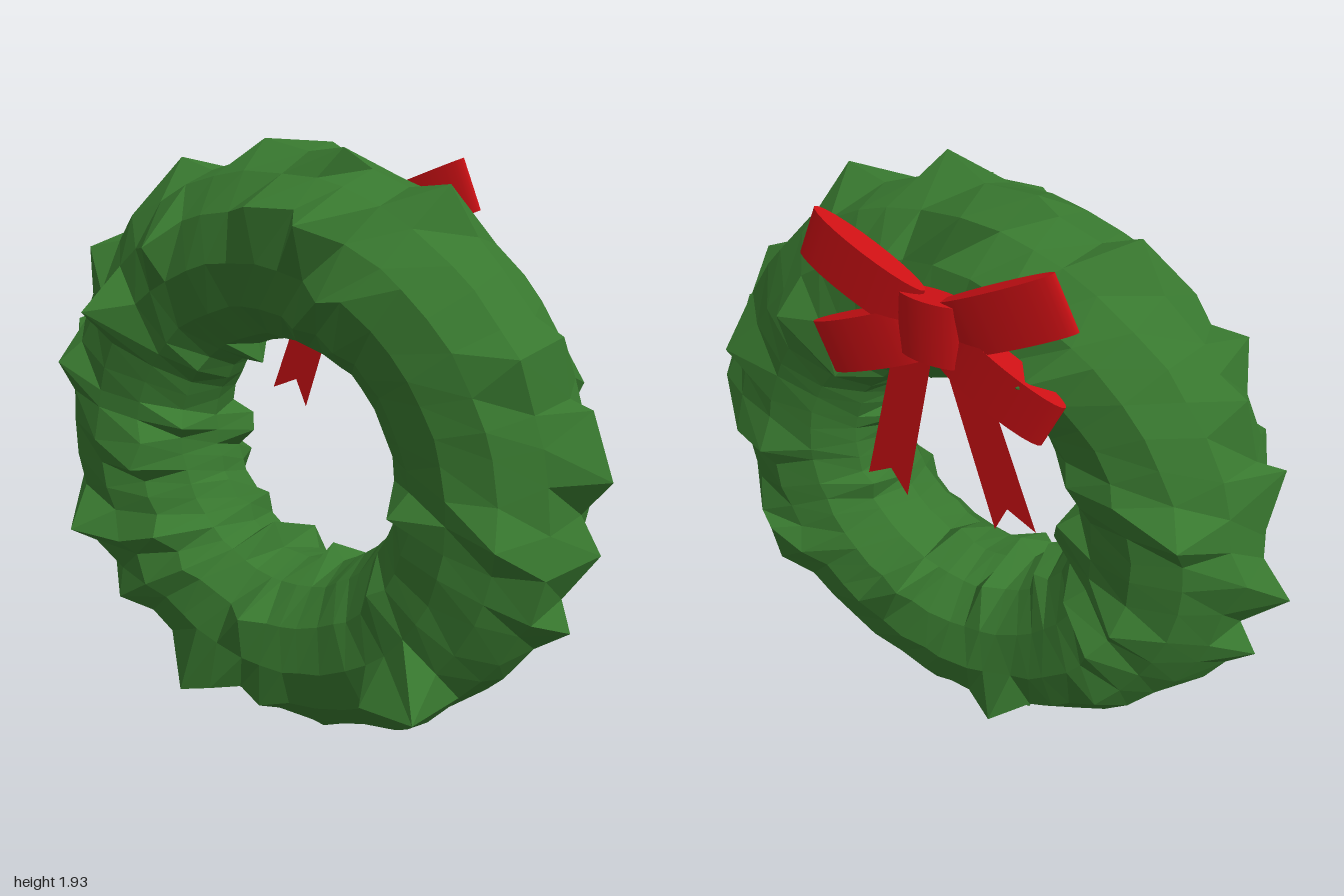
import * as THREE from 'three';

const RING = 0.637, TUBE = 0.272, AROUND = 48, SIDES = 12;

// Repeatable pseudo-random value in 0..1 for a grid cell
function hash(i, j, k) {
  const s = Math.sin(i * 127.1 + j * 311.7 + k * 74.7 + 3.1) * 43758.5453;
  return s - Math.floor(s);
}

// Longest leaf tips: across, up (from the ring centre), forward
const TIPS = [
  [-1, 0.13, 0], [0.995, -0.12, 0], [0.19, -0.99, 0.05], [0.93, -0.35, 0.02], [0.78, -0.55, 0],
  [0.45, -0.89, 0], [0.91, 0.29, -0.03], [0.8, 0.52, 0.05], [0.45, 0.86, 0], [0.17, 0.93, 0.05],
  [-0.18, 0.94, -0.06], [-0.48, 0.86, 0], [-0.83, 0.5, 0], [-0.92, 0.31, 0.02],
  [-0.92, -0.35, 0], [-0.35, -0.91, 0.03], [-0.1, -0.96, -0.02],
  [0.05, 0.91, 0.23], [0.3, -0.83, -0.28], [0.2, -0.77, 0.34], [-0.2, 0.77, -0.33],
  [0.77, 0.2, 0.34], [-0.62, -0.58, -0.35], [-0.65, -0.34, 0.34], [0.57, 0.43, -0.35],
  [0.7, -0.33, -0.34], [-0.52, 0.5, 0.33], [0.33, 0.65, -0.33], [-0.43, -0.6, -0.33],
];

// Leafy ring: a regular torus with slightly uneven rows and scattered sharp tips
function wreathGeometry() {
  const geo = new THREE.TorusGeometry(RING, TUBE, SIDES, AROUND);
  const pos = geo.attributes.position;
  const turn = Math.PI * 2;
  const tips = new Map();
  for (const tip of TIPS) {
    const [x, y, z] = tip;
    const i = Math.round((Math.atan2(y, x) / turn) * AROUND);
    const j = Math.round((Math.atan2(z, Math.hypot(x, y) - RING) / turn) * SIDES);
    tips.set(((i + AROUND) % AROUND) + ',' + ((j + SIDES) % SIDES), tip);
  }
  for (let j = 0, n = 0; j <= SIDES; j++) {
    for (let i = 0; i <= AROUND; i++, n++) {
      const a = i % AROUND, b = j % SIDES;
      const tip = tips.get(a + ',' + b);
      if (tip) {
        pos.setXYZ(n, ...tip);
        continue;
      }
      const spiky = hash(a, b, 3) > 0.87;
      const r = TUBE + (spiky ? 0.02 + 0.05 * hash(a, b, 5) : 0.012 * (hash(a, b, 6) - 0.5));
      const u = ((a + (hash(a, b, 1) - 0.5) * (spiky ? 0.7 : 0.4)) / AROUND) * turn;
      const v = ((b + (hash(a, b, 2) - 0.5) * (spiky ? 0.3 : 0.05)) / SIDES) * turn;
      const d = RING + r * Math.cos(v);
      pos.setXYZ(n, d * Math.cos(u) - 0.008, d * Math.sin(u) - 0.006, r * Math.sin(v) + 0.02);
    }
  }
  return geo;
}

export function createModel() {
  const model = new THREE.Group();
  model.name = 'wreath';
  const green = new THREE.MeshStandardMaterial({ color: 0x38782f, flatShading: true });
  const red = new THREE.MeshStandardMaterial({ color: 0xcc1014 });
  const ribbon = new THREE.MeshStandardMaterial({ color: 0xcc1014, side: THREE.DoubleSide });

  // Everything is laid out facing +z, then turned to face +x
  const facing = new THREE.Group();
  facing.name = 'wreathBody';
  facing.rotation.y = Math.PI / 2;
  model.add(facing);

  const add = (parent, geo, mat, name) => {
    const mesh = new THREE.Mesh(geo, mat);
    mesh.name = name;
    parent.add(mesh);
    return mesh;
  };

  add(facing, wreathGeometry(), green, 'leafRing').position.y = 1;

  const bow = new THREE.Group();
  bow.name = 'bow';
  bow.position.z = 0.325;
  facing.add(bow);

  // Loops: flattened cylinders running from the knot to an outer end
  const loops = [
    ['upperLeftLoop', [-0.03, 1.66], [-0.375, 1.81]],
    ['upperRightLoop', [0.07, 1.64], [0.415, 1.82]],
    ['lowerLeftLoop', [-0.03, 1.6], [-0.352, 1.455]],
    ['lowerRightLoop', [0.07, 1.6], [0.39, 1.45]],
  ];
  for (const [name, a, b] of loops) {
    const dx = b[0] - a[0], dy = b[1] - a[1];
    const loop = add(bow, new THREE.CylinderGeometry(1, 1, 0.158, 24), red, name);
    loop.scale.set(Math.hypot(dx, dy) / 2, 1, 0.033);
    loop.rotation.z = Math.atan(dy / dx);
    loop.position.set((a[0] + b[0]) / 2, (a[1] + b[1]) / 2, 0);
  }

  // Knot
  const knot = add(bow, new THREE.CylinderGeometry(1, 1, 0.185, 24), red, 'knot');
  knot.scale.set(0.108, 1, 0.039);
  knot.position.set(0.02, 1.63, 0);

  // Tails: flat ribbons with notched ends
  const tails = [
    ['leftTail', [[0.02, 1.6], [-0.1, 1.6], [-0.24, 1.04], [-0.155, 1.09], [-0.1, 1.01]]],
    ['rightTail', [[0.14, 1.6], [0.02, 1.6], [0.205, 1.015], [0.245, 1.105], [0.34, 1.06]]],
  ];
  for (const [name, pts] of tails) {
    const shape = new THREE.Shape(pts.map(([x, y]) => new THREE.Vector2(x, y)));
    add(bow, new THREE.ShapeGeometry(shape), ribbon, name).position.z = -0.015;
  }
  return model;
}
